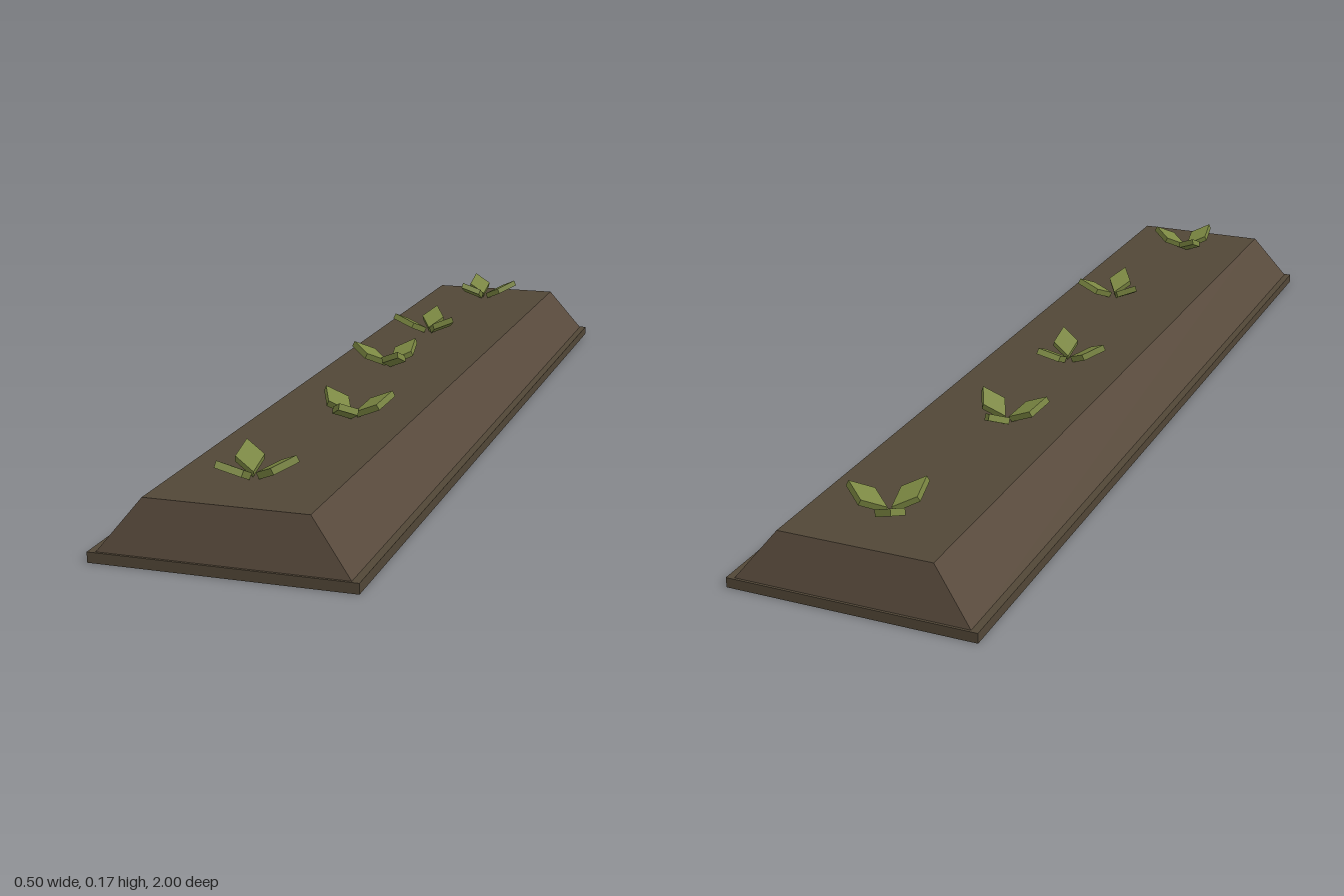
import * as THREE from 'three';

const mat = (name, color) => {
  const m = new THREE.MeshStandardMaterial({ color });
  m.name = name;
  return m;
};

export function createModel() {
  const earth = mat('earth brown', 0x584a3c);
  const soil = mat('soil brown', 0x524737);
  const leafGreen = mat('leaf green', 0x7b8742);

  const model = new THREE.Group();
  model.name = 'plantedBed';

  // Thin slab at the bottom
  const slab = new THREE.Mesh(new THREE.BoxGeometry(0.5, 0.02, 2).translate(0, 0.01, 0), soil);
  slab.name = 'baseSlab';
  model.add(slab);

  // Mound: a box whose top corners are drawn inwards
  const moundGeo = new THREE.BoxGeometry(0.47, 0.1, 1.99).translate(0, 0.07, 0);
  const p = moundGeo.attributes.position;
  for (let i = 0; i < p.count; i++) {
    if (p.getY(i) > 0.07) {
      p.setX(i, Math.sign(p.getX(i)) * 0.155);
      p.setZ(i, Math.sign(p.getZ(i)) * 0.97);
    }
  }
  moundGeo.computeVertexNormals();
  const mound = new THREE.Mesh(moundGeo, [earth, earth, soil, earth, earth, earth]);
  mound.name = 'soilMound';
  model.add(mound);

  // Diamond leaf plate, rising outwards along +x
  const length = 0.0875, halfWidth = 0.027;
  const diamond = new THREE.Shape([
    new THREE.Vector2(0, 0),
    new THREE.Vector2(length / 2, -halfWidth),
    new THREE.Vector2(length, 0),
    new THREE.Vector2(length / 2, halfWidth),
  ]);
  const leafGeo = new THREE.ExtrudeGeometry(diamond, { depth: 0.0135, bevelEnabled: false })
    .rotateX(-Math.PI / 2)
    .rotateZ(THREE.MathUtils.degToRad(27))
    .translate(0.01, 0, 0);

  // Five sprouts of three leaves, each turned a quarter from the last
  const spots = [[0, -0.837], [-0.03, -0.39], [-0.022, -0.04], [0.035, 0.39], [-0.008, 0.818]];
  spots.forEach(([x, z], i) => {
    const sprout = new THREE.Group();
    sprout.name = 'sprout' + (i + 1);
    sprout.position.set(x, 0.12, z);
    sprout.rotation.y = i * Math.PI / 2;
    for (let k = 0; k < 3; k++) {
      const leaf = new THREE.Mesh(leafGeo, leafGreen);
      leaf.name = 'leaf' + (k + 1);
      leaf.rotation.y = k * Math.PI * 2 / 3;
      sprout.add(leaf);
    }
    model.add(sprout);
  });

  return model;
}
